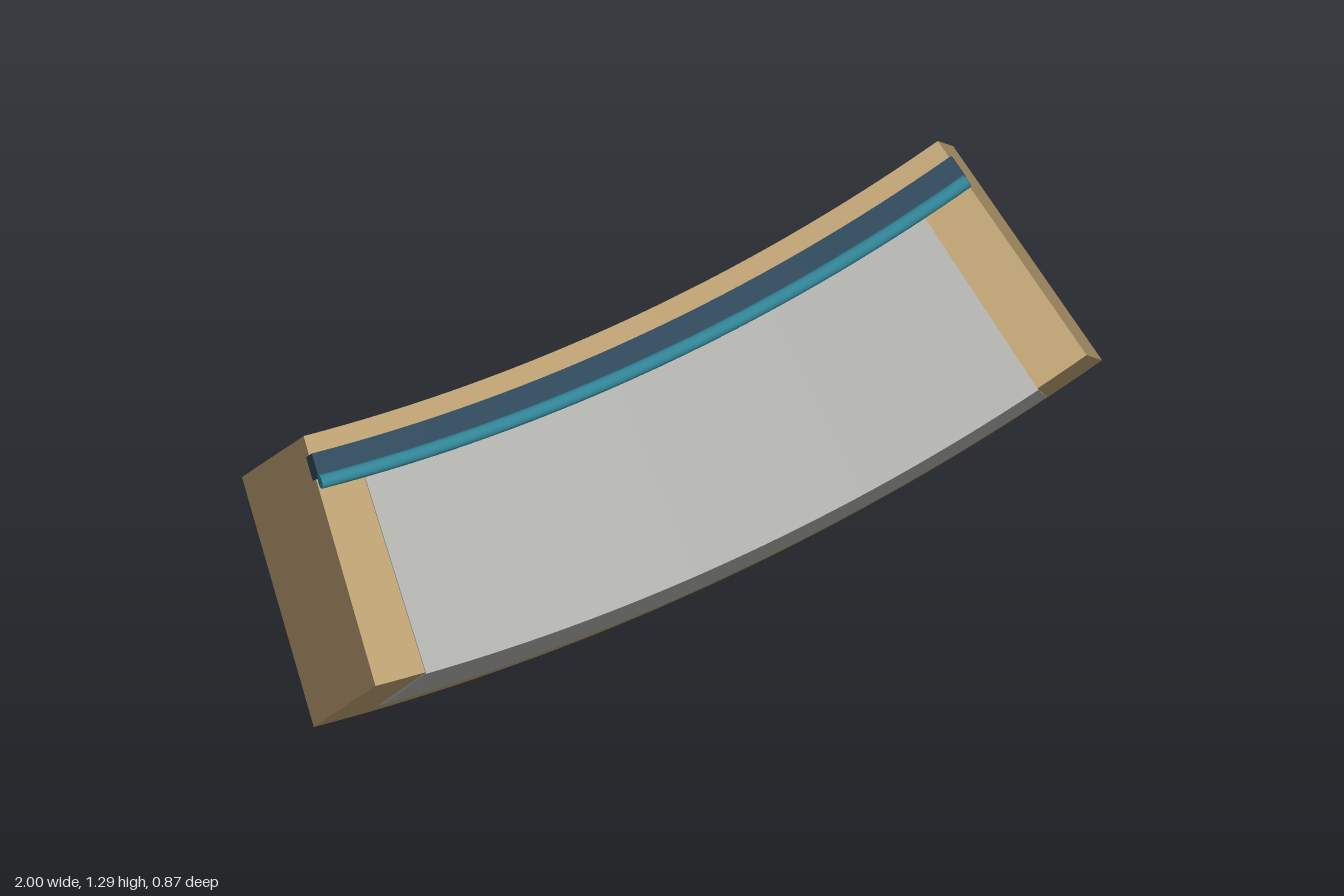
import * as THREE from 'three';
import { toCreasedNormals } from 'three/addons/utils/BufferGeometryUtils.js';

// Every part is swept about one arc centre in the xy plane
const CX = -1.1, CY = 4.4;

// Sweep a convex profile of [z, radius] points from angle a0 to a1 (degrees), with end caps
function sweep(profile, a0, a1, steps = 32) {
  const pos = [], n = profile.length;
  const point = (i, s) => {
    const a = THREE.MathUtils.degToRad(a0 + (a1 - a0) * s / steps);
    const [z, r] = profile[i % n];
    return [CX + r * Math.sin(a), CY - r * Math.cos(a), z];
  };
  const tri = (...p) => p.forEach(q => pos.push(...q));
  for (let s = 0; s < steps; s++) {
    for (let i = 0; i < n; i++) {
      const a = point(i, s), b = point(i, s + 1), c = point(i + 1, s + 1), d = point(i + 1, s);
      tri(a, b, c);
      tri(a, c, d);
    }
  }
  for (let i = 1; i < n - 1; i++) {
    tri(point(0, 0), point(i, 0), point(i + 1, 0));
    tri(point(0, steps), point(i + 1, steps), point(i, steps));
  }
  const geo = new THREE.BufferGeometry();
  geo.setAttribute('position', new THREE.Float32BufferAttribute(pos, 3));
  geo.computeVertexNormals();
  return toCreasedNormals(geo, 0.6);
}

// Regular profile: bottom, front, top, back for four sides
function ring(z, r, radius, sides) {
  return Array.from({ length: sides }, (_, i) => {
    const t = i / sides * Math.PI * 2;
    return [z + radius * Math.sin(t), r + radius * Math.cos(t)];
  });
}

export function createModel() {
  const group = new THREE.Group();
  const mat = (name, color) => {
    const m = new THREE.MeshStandardMaterial({ color });
    m.name = name;
    return m;
  };
  const tan = mat('tan', 0xb89d70);
  const grey = mat('grey', 0xaeaeaa);
  const navy = mat('navy', 0x2f485a);
  const teal = mat('teal', 0x318496);
  const add = (name, geo, material) => {
    const mesh = new THREE.Mesh(geo, material);
    mesh.name = name;
    group.add(mesh);
  };

  // Curved square beam standing on its edge
  add('curvedBeam', sweep(ring(-0.004, 3.97, 0.43, 4), 1.7, 28.5), tan);

  // Thin plates on the two front faces
  add('lowerPanel', sweep([[0.087, 4.315], [0.432, 3.97], [0.424, 3.97], [0.079, 4.315]], 3.5, 26.5), grey);
  add('upperPanel', sweep([[0.432, 3.97], [0.087, 3.625], [0.079, 3.625], [0.424, 3.97]], 3.5, 26.5), grey);

  // Rail along the upper edge, with a round rod on its front
  add('rail', sweep(ring(0.065, 3.58, 0.04, 4), 1.6, 28.6), navy);
  add('railRod', sweep(ring(0.115, 3.588, 0.017, 12), 1.6, 28.6), teal);

  return group;
}
